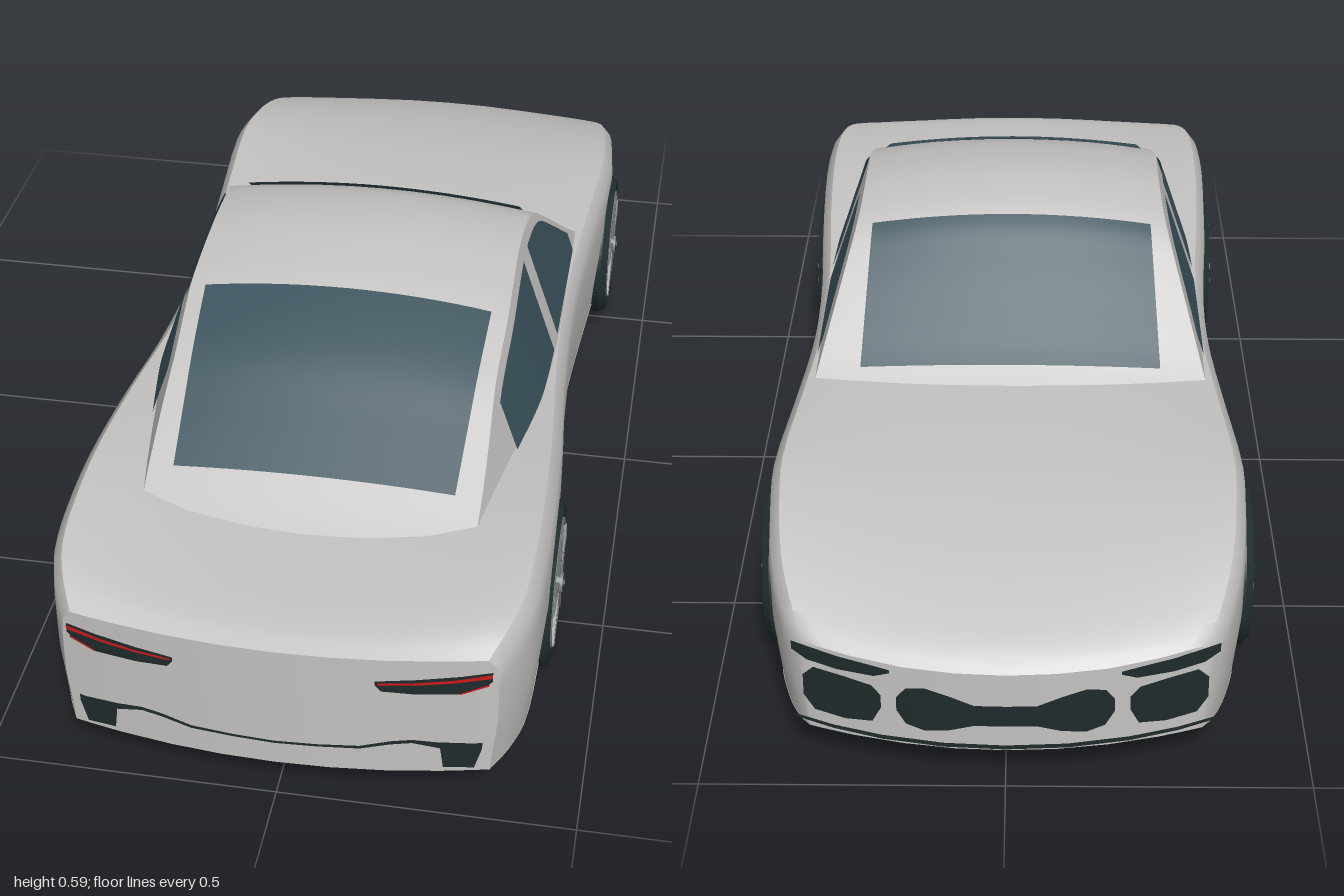
import * as THREE from 'three';
import { toCreasedNormals } from 'three/addons/utils/BufferGeometryUtils.js';

const mat = (name, color, side = THREE.FrontSide) => {
  const m = new THREE.MeshStandardMaterial({ color, side });
  m.name = name;
  return m;
};

// Smooth interpolation of table rows [key, value, value...]
function sample(table, z) {
  let i = 0;
  while (i < table.length - 2 && z > table[i + 1][0]) i++;
  const a = table[i], b = table[i + 1], h = b[0] - a[0];
  const u = Math.min(1, Math.max(0, (z - a[0]) / h));
  const p = table[Math.max(0, i - 1)], q = table[Math.min(table.length - 1, i + 2)];
  return a.slice(1).map((v, k) => {
    const c = k + 1;
    const m0 = (b[c] - p[c]) / (b[0] - p[0]) * h, m1 = (q[c] - a[c]) / (q[0] - a[0]) * h;
    const u2 = u * u, u3 = u2 * u;
    return (2 * u3 - 3 * u2 + 1) * v + (u3 - 2 * u2 + u) * m0 + (3 * u2 - 2 * u3) * b[c] + (u3 - u2) * m1;
  });
}

// Skin over cross-sections that run from low z to high z
function loft(rings, closed, capped = false) {
  const n = rings[0].length, index = [];
  const quad = (a, b, c, d) => index.push(a, d, c, a, c, b);
  for (let i = 0; i < rings.length - 1; i++) {
    for (let j = 0; j < (closed ? n : n - 1); j++) {
      const k = (j + 1) % n;
      quad(i * n + j, i * n + k, (i + 1) * n + k, (i + 1) * n + j);
    }
  }
  if (capped) {
    const half = n / 2, last = (rings.length - 1) * n, m = i => (n - i) % n;
    for (let j = 0; j < half / 2; j++) {
      const [a, b, c, d] = [j, j + 1, half - 1 - j, half - j];
      quad(last + a, last + b, last + c, last + d);
      quad(last + m(d), last + m(c), last + m(b), last + m(a));
      quad(d, c, b, a);
      quad(m(a), m(b), m(c), m(d));
    }
  }
  const g = new THREE.BufferGeometry();
  g.setAttribute('position', new THREE.Float32BufferAttribute(rings.flat(2), 3));
  g.setIndex(index);
  return toCreasedNormals(g, 0.65);
}

// Body stations: z, half width, end bow, centre height, shoulder height
const BODY = [
  [-0.995, 0.33, 0.065, 0.22, 0.235], [-0.97, 0.347, 0.06, 0.24, 0.25], [-0.92, 0.367, 0.05, 0.263, 0.273],
  [-0.82, 0.39, 0.03, 0.295, 0.31], [-0.7, 0.403, 0.015, 0.32, 0.34], [-0.56, 0.409, 0, 0.337, 0.355],
  [-0.35, 0.395, 0, 0.345, 0.35], [-0.15, 0.382, 0, 0.34, 0.343], [0, 0.38, 0, 0.335, 0.338],
  [0.2, 0.388, 0, 0.335, 0.342], [0.4, 0.403, 0, 0.34, 0.358], [0.6, 0.412, 0, 0.345, 0.37],
  [0.75, 0.412, 0.01, 0.34, 0.365], [0.88, 0.405, 0.04, 0.333, 0.352], [0.96, 0.385, 0.055, 0.325, 0.335],
  [1, 0.36, 0.045, 0.312, 0.31],
];
const FLOOR = 0.07;

function bodyRing(z) {
  const [w, bow, yc, ys] = sample(BODY, z), h = ys - FLOOR;
  const top = [[0, 0], [0.25, 0.05], [0.5, 0.2], [0.75, 0.6], [0.88, 0.9], [0.95, 1]].map(([t, k]) => [t, yc + (ys - yc) * k]);
  const side = [[0.99, ys - h * 0.07], [1, ys - h * 0.25], [1, FLOOR + h * 0.45], [0.98, FLOOR + h * 0.15]];
  const bottom = [0.97, 0.9, 0.75, 0.5, 0.25, 0].map(t => [t, FLOOR]);
  const half = [...top, ...side, ...bottom];
  // keep the ring divisible into matching top and bottom points
  half.splice(11, 0, [0.972, FLOOR]);
  const mirror = half.slice(1, -1).reverse().map(([t, y]) => [-t, y]);
  return [...half, ...mirror].map(([t, y]) => [t * w, y, z - Math.sign(z) * bow * t * t]);
}

// Cabin: z, roof centre height, crown drop, side taper
const CABIN = [
  [-0.34, 0.32, 0.01, 0], [-0.27, 0.365, 0.01, 0], [-0.2, 0.422, 0.014, 0], [-0.1, 0.507, 0.02, 0],
  [-0.04, 0.555, 0.025, 0], [0.02, 0.578, 0.028, 0], [0.13, 0.588, 0.028, 0], [0.25, 0.573, 0.027, 0.003],
  [0.32, 0.555, 0.026, 0.008], [0.45, 0.502, 0.021, 0.028], [0.55, 0.445, 0.016, 0.043],
  [0.65, 0.388, 0.012, 0.06], [0.72, 0.35, 0.01, 0.075], [0.78, 0.322, 0.008, 0.09],
];
const sideX = (y, z) => 0.285 + (0.56 - y) * 0.34 - sample(CABIN, z)[2];
function roofEdge(z) {
  const [top, drop] = sample(CABIN, z);
  return [sideX(top - drop, z), top - drop];
}
function roofY(x, z) {
  const [top, drop] = sample(CABIN, z);
  return top - drop * (x / roofEdge(z)[0]) ** 2;
}
function cabinRing(z) {
  const [xe, ye] = roofEdge(z), base = Math.min(0.315, ye - 0.005);
  const roof = [-1, -0.96, -0.8, -0.6, -0.4, -0.2, 0, 0.2, 0.4, 0.6, 0.8, 0.96, 1].map(t => [t * xe, roofY(t * xe, z), z]);
  const bx = sideX(base, z);
  return [[-bx, base, z], ...roof, [bx, base, z]];
}
const range = (a, b, n) => Array.from({ length: n + 1 }, (_, i) => a + (b - a) * i / n);

// Thin sheet from a rule of u and v
function sheet(rule, nu = 12, nv = 12) {
  return loft(range(0, 1, nv).map(v => range(0, 1, nu).map(u => rule(u, v))), false);
}
// Thin strip on a curved end: rows of x, low y, high y
const strip = (rows, zAt, side) => loft(rows.map(([x, lo, hi]) => [[side * x, lo, zAt(x)], [side * x, hi, zAt(x)]]), false);

export function createModel() {
  const paint = mat('silver paint', 0xc4c3c1, THREE.DoubleSide);
  const glass = mat('tinted glass', 0x3b535d, THREE.DoubleSide);
  const rubber = mat('tyre rubber', 0x223030);
  const trim = mat('dark trim', 0x1f2b2b, THREE.DoubleSide);
  const red = mat('red lamp', 0xd01818, THREE.DoubleSide);
  const alloy = mat('wheel alloy', 0x7c8081);

  const car = new THREE.Group();
  car.name = 'car';
  const add = (name, geometry, material, parent = car) => {
    const mesh = new THREE.Mesh(geometry, material);
    mesh.name = name;
    parent.add(mesh);
    return mesh;
  };

  // Shell
  const stations = BODY.slice(0, -1).flatMap((row, i) => range(row[0], BODY[i + 1][0], 3).slice(0, 3)).concat(1);
  add('body', loft(stations.map(bodyRing), true, true), paint);
  add('cabin', loft(range(-0.34, 0.78, 56).map(cabinRing), false), paint);

  // Windows
  const pane = (z0, z1, x0, x1) => sheet((u, v) => {
    const z = z0 + (z1 - z0) * v, x = (x0 + (x1 - x0) * v) * (u * 2 - 1);
    return [x, roofY(x, z) + 0.006, z];
  }, 16, 16);
  add('windscreen', pane(-0.27, -0.035, 0.275, 0.262), glass);
  add('rearWindow', pane(0.32, 0.65, 0.258, 0.243), glass);
  for (const s of [1, -1]) {
    for (const [name, z0, z1] of [['frontSideWindow', -0.2, 0.1], ['rearSideWindow', 0.152, 0.47]]) {
      add(name, sheet((u, v) => {
        const z = z0 + (z1 - z0) * v, y = 0.355 + (roofEdge(z)[1] - 0.016 - 0.355) * u;
        return [s * (sideX(y, z) + 0.005), y, z];
      }), glass);
    }
  }

  // Lamps, intakes and trim on both ends
  const rearZ = d => x => 1 - 0.045 * (x / 0.36) ** 2 + d;
  const frontZ = d => x => -0.995 + 0.065 * (x / 0.33) ** 2 - d;
  for (const s of [1, -1]) {
    add('tailLamp', strip([[0.165, 0.262, 0.27], [0.175, 0.249, 0.271], [0.23, 0.244, 0.275], [0.3, 0.243, 0.281], [0.34, 0.258, 0.286], [0.35, 0.268, 0.287]], rearZ(0.004), s), trim);
    add('tailLampStripe', strip([[0.17, 0.264, 0.268], [0.23, 0.265, 0.27], [0.29, 0.269, 0.275], [0.35, 0.276, 0.284]], rearZ(0.006), s), red);
    add('tailLampLowerStripe', strip([[0.3, 0.244, 0.247], [0.345, 0.26, 0.264]], rearZ(0.006), s), red);
    add('rearBumperTrim', strip([[0, 0.117, 0.122], [0.07, 0.119, 0.124], [0.14, 0.121, 0.127], [0.19, 0.133, 0.14], [0.225, 0.137, 0.144], [0.27, 0.125, 0.138], [0.275, 0.083, 0.138], [0.325, 0.08, 0.134], [0.337, 0.122, 0.135]], rearZ(0.004), s), trim);
    add('headlamp', strip([[0.185, 0.212, 0.218], [0.21, 0.202, 0.222], [0.27, 0.202, 0.228], [0.32, 0.208, 0.235], [0.345, 0.222, 0.238]], frontZ(0.006), s), trim);
    add('grille', strip([[0, 0.122, 0.162], [0.05, 0.122, 0.162], [0.09, 0.11, 0.178], [0.13, 0.105, 0.19], [0.16, 0.115, 0.185], [0.175, 0.14, 0.165]], frontZ(0.005), s), trim);
    add('sideIntake', strip([[0.2, 0.14, 0.165], [0.215, 0.11, 0.182], [0.26, 0.105, 0.19], [0.31, 0.11, 0.195], [0.328, 0.135, 0.175]], frontZ(0.005), s), trim);
    add('splitter', strip([[0, 0.079, 0.087], [0.1, 0.079, 0.087], [0.2, 0.08, 0.088], [0.28, 0.083, 0.09], [0.345, 0.088, 0.094]], frontZ(0.009), s), trim);
  }

  // Wheels, with local +x facing outward
  const profile = [[0.112, -0.03], [0.116, -0.055], [0.136, -0.057], [0.148, -0.044], [0.148, 0.044], [0.136, 0.057], [0.116, 0.055], [0.111, 0.03], [0.112, -0.03]];
  const tyre = toCreasedNormals(new THREE.LatheGeometry(profile.map(p => new THREE.Vector2(...p)), 40).rotateZ(-Math.PI / 2), 0.7);
  const rim = new THREE.TorusGeometry(0.112, 0.004, 8, 40).rotateY(Math.PI / 2);
  const hub = new THREE.CylinderGeometry(0.018, 0.024, 0.03, 20).rotateZ(-Math.PI / 2);
  const cap = new THREE.CylinderGeometry(0.011, 0.011, 0.006, 16).rotateZ(-Math.PI / 2);
  for (const s of [1, -1]) {
    for (const z of [0.565, -0.565]) {
      const wheel = new THREE.Group();
      wheel.name = z > 0 ? 'rearWheel' : 'frontWheel';
      wheel.position.set(s * 0.362, 0.148, z);
      wheel.rotation.y = s > 0 ? 0 : Math.PI;
      add('tyre', tyre, rubber, wheel);
      add('rim', rim, alloy, wheel).position.x = 0.054;
      add('hub', hub, alloy, wheel).position.x = 0.05;
      add('hubCap', cap, rubber, wheel).position.x = 0.066;
      for (let i = 0; i < 5; i++) {
        for (const splay of [-0.13, 0.13]) {
          const spoke = new THREE.BoxGeometry(0.014, 0.097, 0.009).translate(0.053, 0.064, 0);
          add('spoke', spoke, alloy, wheel).rotation.x = i * Math.PI * 0.4 + splay;
        }
      }
      car.add(wheel);
    }
  }
  return car;
}
